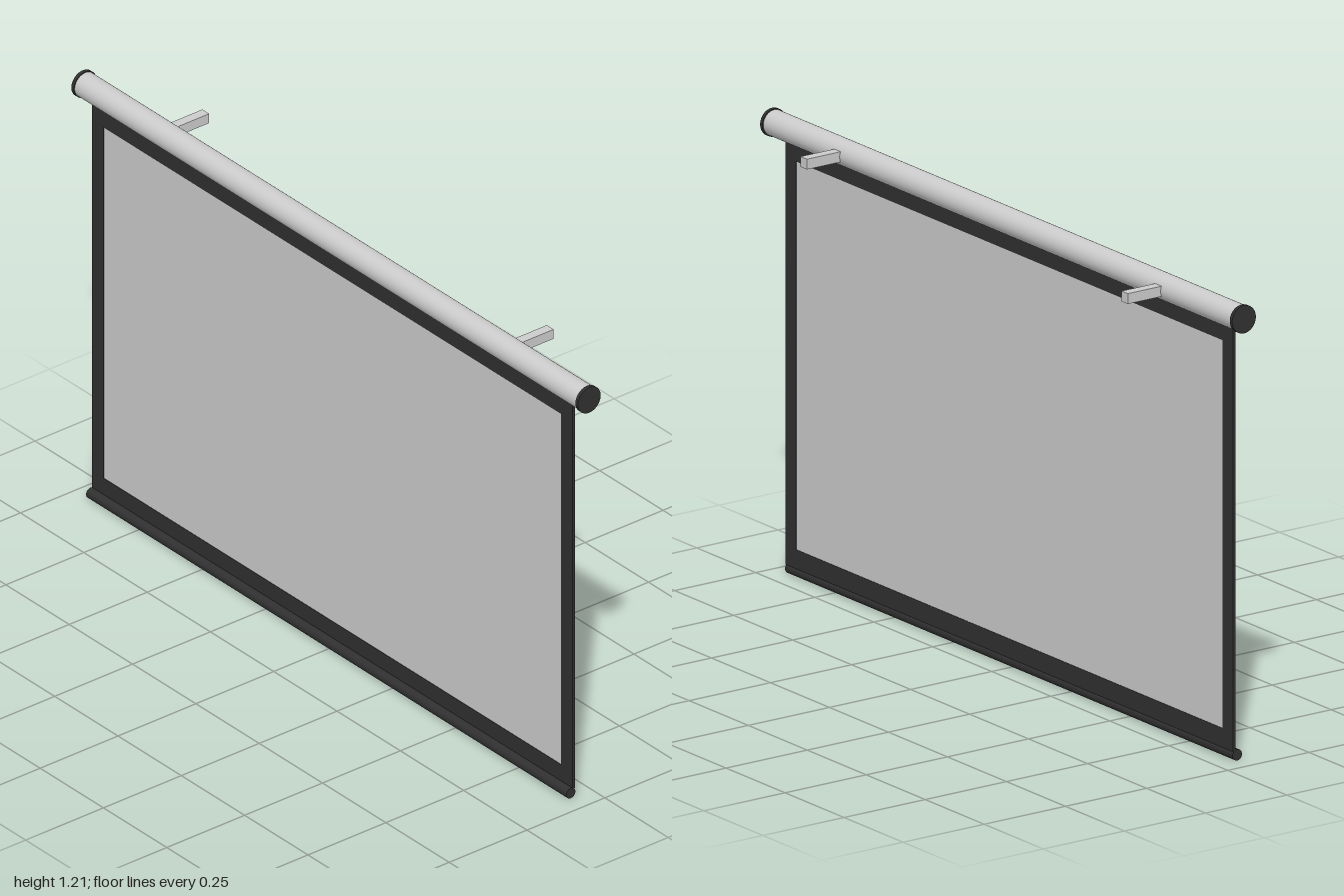
import * as THREE from 'three';

export function createModel() {
  const model = new THREE.Group();
  const grey = new THREE.MeshStandardMaterial({ color: 0xcccccc });
  const black = new THREE.MeshStandardMaterial({ color: 0x303030 });
  const caseY = 1.17, caseZ = 0.05, sheetZ = 0.058;

  const add = (name, geometry, material, x, y, z) => {
    const mesh = new THREE.Mesh(geometry, material);
    mesh.name = name;
    mesh.position.set(x, y, z);
    model.add(mesh);
  };
  // Cylinder lying along x
  const rod = (radius, length, sides = 48) =>
    new THREE.CylinderGeometry(radius, radius, length, sides).rotateZ(Math.PI / 2);

  // Roller case with end caps and wall brackets
  add('rollerCase', rod(0.034, 1.98), grey, 0, caseY, caseZ);
  for (const [side, s] of [['left', 1], ['right', -1]]) {
    add(side + 'EndCap', rod(0.0365, 0.01), black, s * 0.995, caseY, caseZ);
    add(side + 'WallBracket', new THREE.BoxGeometry(0.027, 0.027, 0.115), grey,
      s * 0.68, caseY, -0.0275);
  }

  // Dark border around the projection surface
  const rect = (path, x, y0, y1) =>
    path.moveTo(-x, y0).lineTo(x, y0).lineTo(x, y1).lineTo(-x, y1).closePath();
  const outline = new THREE.Shape(), opening = new THREE.Path();
  rect(outline, 0.948, 0.025, 1.16);
  rect(opening, 0.903, 0.075, 1.09);
  outline.holes.push(opening);
  const border = new THREE.ExtrudeGeometry(outline, { depth: 0.008, bevelEnabled: false });
  add('screenBorder', border, black, 0, 0, sheetZ - 0.004);

  // Projection surface
  add('screenSurface', new THREE.BoxGeometry(1.81, 1.02, 0.006), grey, 0, 0.5825, sheetZ);

  // Weight bar along the bottom hem
  add('weightBar', rod(0.0145, 1.896, 32), black, 0, 0.0145, 0.067);

  return model;
}
